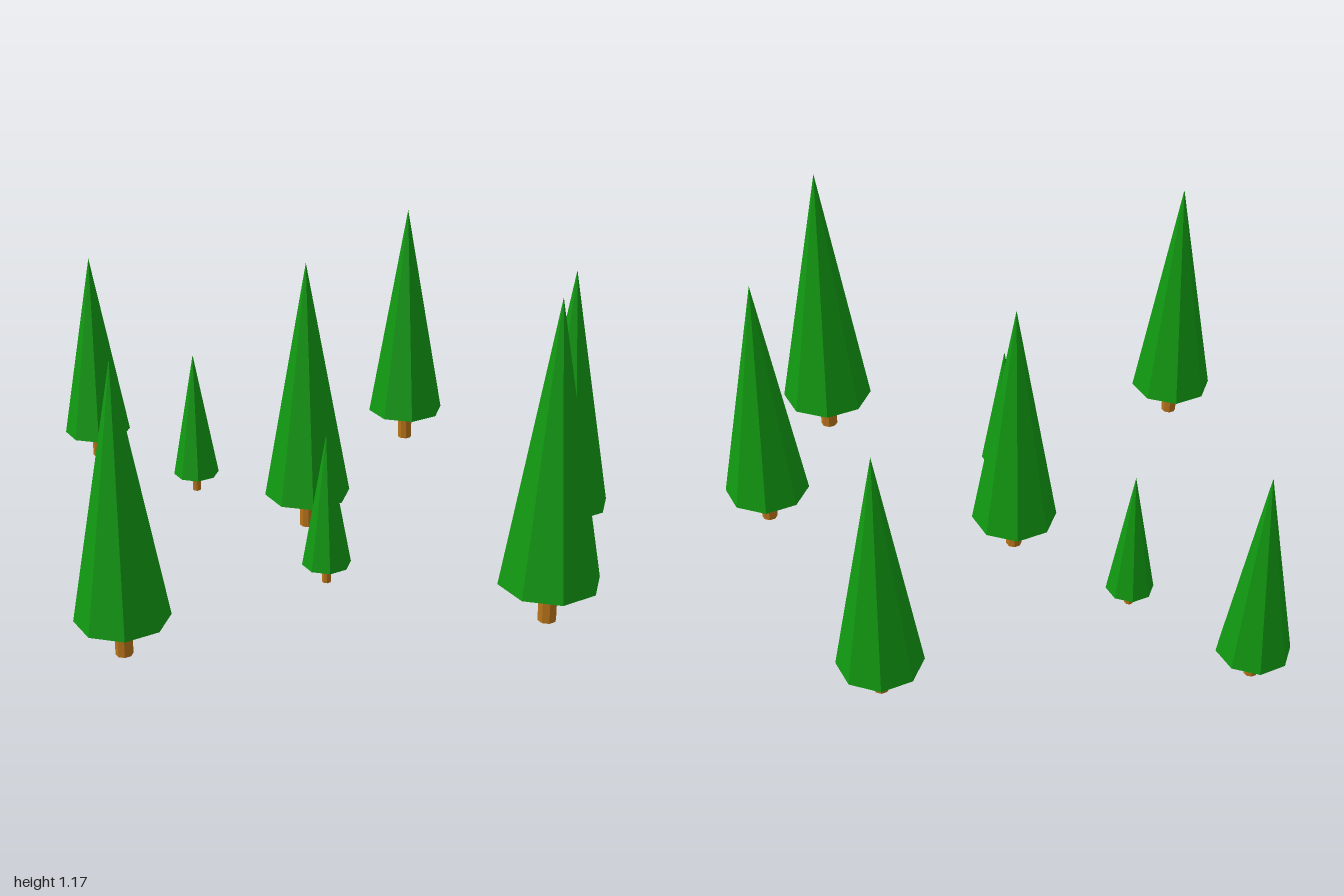
import * as THREE from 'three';

const foliageMaterial = new THREE.MeshStandardMaterial({ color: 0x119911, flatShading: true });
const trunkMaterial = new THREE.MeshStandardMaterial({ color: 0xb8731a, flatShading: true });

// One conifer: an eight-sided cone on a short trunk, all scaled from its height
function createTree(x, z, height) {
  const tree = new THREE.Group();
  tree.name = 'tree';
  const base = height * 0.13;
  const radius = height * 0.1535;

  const foliage = new THREE.Mesh(new THREE.ConeGeometry(radius, height - base, 8), foliageMaterial);
  foliage.name = 'foliage';
  foliage.position.y = (height + base) / 2;

  const trunkRadius = radius * 0.185;
  const trunk = new THREE.Mesh(new THREE.CylinderGeometry(trunkRadius, trunkRadius, base, 8), trunkMaterial);
  trunk.name = 'trunk';
  trunk.position.y = base / 2;

  tree.add(foliage, trunk);
  tree.position.set(x, 0, z);
  return tree;
}

export function createModel() {
  const grove = new THREE.Group();
  grove.name = 'grove';
  // x, z, height of each tree
  const trees = [
    [-0.87, -0.82, 0.853],
    [0.418, -0.81, 0.997],
    [-0.496, -0.425, 0.572],
    [-0.104, -0.057, 1.045],
    [0.834, 0.173, 1.045],
    [-0.1, 0.4, 0.572],
    [-0.833, 0.784, 1.045],
    [0.605, 0.782, 1.167],
  ];
  for (const [x, z, height] of trees) grove.add(createTree(x, z, height));
  return grove;
}
